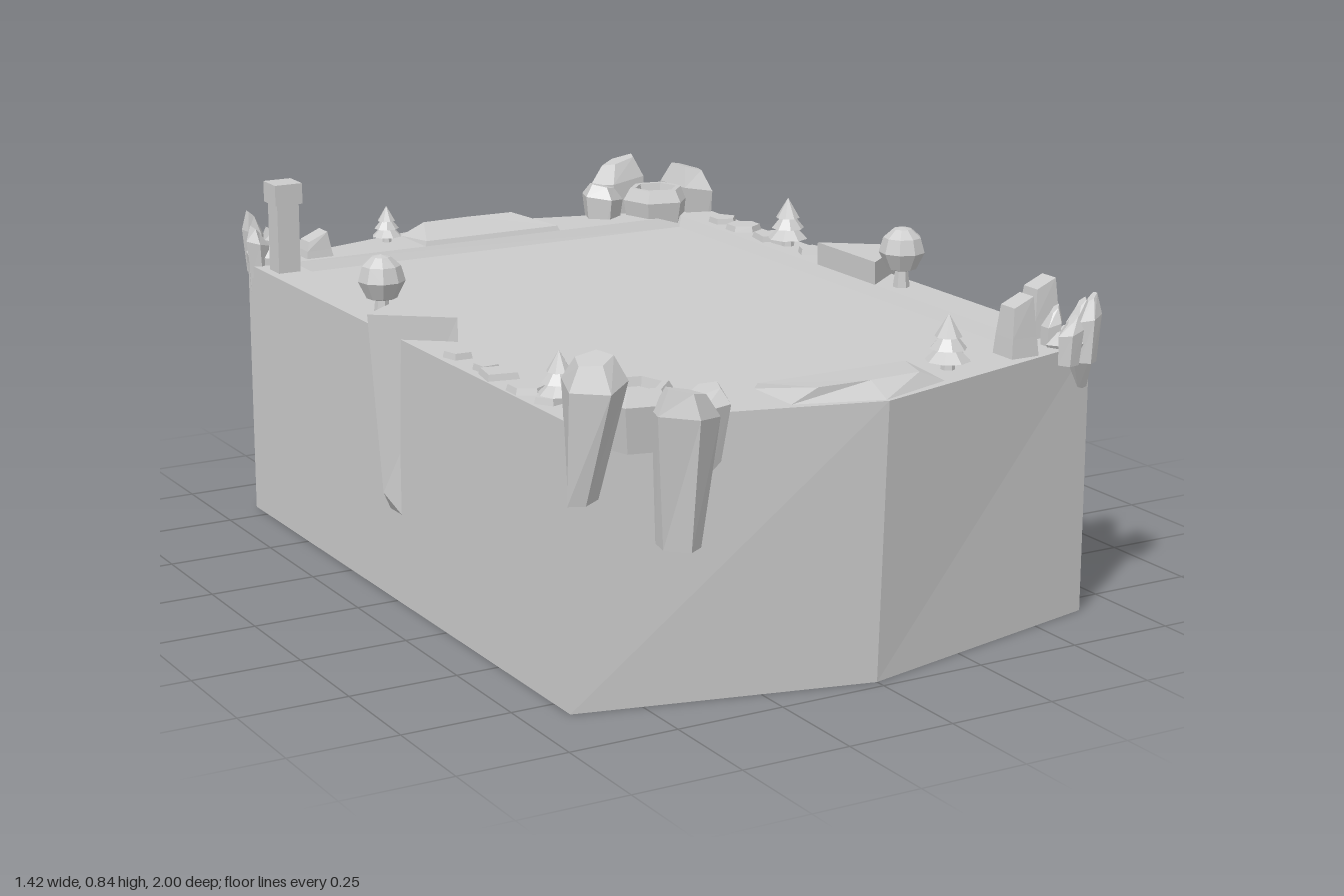
import * as THREE from 'three';

const mat = new THREE.MeshStandardMaterial({ color: 0xcccccc, flatShading: true, side: THREE.DoubleSide });
const TOP = 0.62, FLOOR = 0.595;

function add(parent, name, geo, x = 0, y = 0, z = 0, ry = 0) {
  const m = new THREE.Mesh(geo, mat);
  m.name = name;
  m.position.set(x, y, z);
  m.rotation.y = ry;
  parent.add(m);
  return m;
}

// Skin over loops of [x, y, z] corners with equal counts, listed bottom to top
function loft(loops, capBottom = true, capTop = true) {
  const pos = [], n = loops[0].length;
  const tri = (a, b, c) => pos.push(...a, ...b, ...c);
  for (let k = 0; k < loops.length - 1; k++) {
    for (let i = 0; i < n; i++) {
      const j = (i + 1) % n, lo = loops[k], hi = loops[k + 1];
      tri(lo[i], hi[j], lo[j]);
      tri(lo[i], hi[i], hi[j]);
    }
  }
  const last = loops[loops.length - 1];
  for (let i = 1; i < n - 1; i++) {
    if (capBottom) tri(loops[0][0], loops[0][i], loops[0][i + 1]);
    if (capTop) tri(last[0], last[i + 1], last[i]);
  }
  const g = new THREE.BufferGeometry();
  g.setAttribute('position', new THREE.Float32BufferAttribute(pos, 3));
  g.computeVertexNormals();
  return g;
}

// Polygonal ring around a centre, with tilt lowering one side of it
function ring(x, y, z, rx, rz, sides = 5, turn = 0.4, tilt = 0) {
  return Array.from({ length: sides }, (_, i) => {
    const a = turn - (i / sides) * Math.PI * 2;
    return [x + Math.cos(a) * rx, y + Math.cos(a) * tilt, z + Math.sin(a) * rz];
  });
}

const rect = (x, y, z) => [[-x, y, -z], [-x, y, z], [x, y, z], [x, y, -z]];
const outline = (y, tip) => [[0, y, tip], [0.65, y, 0.82], [0.65, y, -0.82], [0, y, -tip], [-0.65, y, -0.82], [-0.65, y, 0.82]];

function buildBase(g) {
  // Open-bottomed outer wall with pointed ends
  add(g, 'outerWall', loft([outline(0, 0.975), outline(TOP, 1)], false, false));
  // Rim with a rectangular opening
  const shape = new THREE.Shape(outline(0, 1).map(p => new THREE.Vector2(p[0], -p[2])));
  shape.holes.push(new THREE.Path(rect(0.55, 0, 0.78).map(p => new THREE.Vector2(p[0], -p[2]))));
  add(g, 'rim', new THREE.ShapeGeometry(shape).rotateX(-Math.PI / 2), 0, TOP, 0);
  // Sunken floor with a bevelled edge
  add(g, 'floor', loft([rect(0.535, FLOOR, 0.765), rect(0.55, TOP, 0.78)], true, false));
}

// Raised bevelled slab at the pointed end
function buildEndSlab(g) {
  const low = [[-0.19, TOP, 0.78], [-0.19, TOP, 0.925], [0, TOP, 0.99], [0.19, TOP, 0.925], [0.19, TOP, 0.78]];
  const high = [[-0.185, 0.632, 0.785], [-0.125, 0.648, 0.925], [0, 0.648, 0.93], [0.125, 0.648, 0.925], [0.185, 0.632, 0.785]];
  add(g, 'endSlab', loft([low, high]));
}

// Spike tapering down the long wall
function buildSideSpike(g) {
  add(g, 'sideSpike', loft([
    [[0.55, 0.05, 0.125], [0.68, 0.26, 0], [0.55, 0.05, -0.125]],
    [[0.55, 0.675, 0.125], [0.71, 0.675, 0], [0.55, 0.675, -0.125]],
  ]));
}

function roundTree(g, x, z) {
  add(g, 'roundTreeTrunk', new THREE.CylinderGeometry(0.014, 0.02, 0.05, 6), x, TOP + 0.025, z);
  const pts = [[0, 0.655], [0.035, 0.665], [0.055, 0.705], [0.045, 0.74], [0.022, 0.76], [0, 0.765]];
  add(g, 'roundTreeCrown', new THREE.LatheGeometry(pts.map(p => new THREE.Vector2(...p)), 9), x, 0, z);
}

function coneTree(g, x, z, s, y = TOP) {
  add(g, 'coneTreeTrunk', new THREE.CylinderGeometry(0.012 * s, 0.016 * s, 0.03 * s, 6), x, y + 0.015 * s, z);
  [[0.05, 0.02], [0.041, 0.046], [0.03, 0.072]].forEach(([r, h], i) =>
    add(g, 'coneTreeTier', new THREE.ConeGeometry(r * s, 0.05 * s, 8), x, y + (h + 0.025) * s, z, i * 0.4));
}

function brokenPillar(g, x, z, h) {
  const square = (y, r, tilt = 0) => ring(x, y, z, r, r, 4, Math.PI / 4, tilt);
  add(g, 'brokenPillar', loft([square(TOP, 0.05), square(TOP + h * 0.35, 0.045), square(TOP + h, 0.035, 0.015)]));
}

function cappedPillar(g, x, z) {
  add(g, 'pillarShaft', new THREE.BoxGeometry(0.056, 0.17, 0.056), x, TOP + 0.085, z);
  add(g, 'pillarCap', new THREE.BoxGeometry(0.07, 0.05, 0.07), x, 0.812, z);
}

// Long crystal-like rock hanging over the wall: foot, shoulder and crown
function shard(g, [fx, fy, fz, fr], [sx, sy, sz, rx, rz], h, turn, tilt) {
  add(g, 'hangingRock', loft([
    ring(fx, fy, fz, fr, fr * 0.9, 5, turn, tilt * 0.5),
    ring(sx, sy, sz, rx, rz, 5, turn, tilt),
    ring(sx, sy + h, sz, rx * 0.6, rz * 0.55, 5, turn, tilt),
  ]));
}

// Big rock cluster, with per-rock height offsets
function rockCluster(g, d) {
  shard(g, [-0.635, 0.46 + d[0] * 2, 0.845, 0.035], [-0.62, 0.71 + d[0], 0.87, 0.062, 0.095], 0.05, 0.5, 0.01);
  shard(g, [-0.46, 0.36, 0.93, 0.05], [-0.455, 0.64 + d[1], 0.945, 0.08, 0.05], 0.05, 0.2, -0.012);
  shard(g, [-0.36, 0.45, 0.87, 0.025], [-0.37, 0.64 + d[2], 0.885, 0.055, 0.06], 0.03, 1.0, 0.008);
  // Hexagonal stump with a recessed ring
  const pts = [[0.07, 0.56], [0.088, 0.66], [0.07, 0.69], [0.055, 0.69], [0.045, 0.655], [0.032, 0.675], [0, 0.675]];
  add(g, 'hexStump', new THREE.LatheGeometry(pts.map(p => new THREE.Vector2(...p)), 6), -0.51, 0, 0.845, 0.3);
}

// Small rocks on the opposite corner, wedged over the edge
function cornerRocks(g) {
  shard(g, [0.63, 0.52, 0.81, 0.02], [0.6, 0.635, 0.82, 0.06, 0.055], 0.025, 0.9, 0.01);
  const rocks = [[0.565, 0.79, 0.026, 0.08], [0.63, 0.8, 0.03, 0.09], [0.565, 0.855, 0.03, 0.07], [0.615, 0.855, 0.028, 0.115]];
  rocks.forEach(([x, z, r, h], i) => add(g, 'cornerRock', loft([
    ring(x, TOP - 0.03, z, r * 0.8, r * 0.8, 5, i),
    ring(x + 0.005, TOP + h * 0.6, z, r, r * 0.9, 5, i, 0.008),
    ring(x + 0.01, TOP + h, z, r * 0.4, r * 0.35, 5, i, 0.01),
  ])));
}

// Flat paving fragments along the rim: [z, radius, sides, turn]
function rubble(g) {
  const bits = [[-0.66, 0.038, 5, 0.3], [-0.56, 0.046, 6, 0], [-0.43, 0.05, 4, 0.6], [-0.37, 0.03, 4, 0.9], [-0.24, 0.035, 5, 1.2]];
  bits.forEach(([z, r, n, a]) => add(g, 'pavingFragment', new THREE.CylinderGeometry(r * 0.9, r, 0.014, n), 0.605, TOP + 0.007, z, a));
}

// Tiny pebbles in a group of three
function pebbles(g, x, z) {
  [[-0.016, -0.008], [0.016, -0.01], [0.004, 0.016]].forEach(([dx, dz]) =>
    add(g, 'pebble', new THREE.OctahedronGeometry(0.013), x + dx, TOP + 0.006, z + dz));
}

export function createModel() {
  const model = new THREE.Group();
  model.name = 'arenaPlatform';
  buildBase(model);

  // Parts repeated by a half turn
  for (let i = 0; i < 2; i++) {
    const half = new THREE.Group();
    half.name = i ? 'backHalf' : 'frontHalf';
    half.rotation.y = i * Math.PI;
    buildEndSlab(half);
    buildSideSpike(half);
    roundTree(half, 0.595, 0.17);
    rubble(half);
    rockCluster(half, i ? [-0.03, 0.06, 0.03] : [0, 0, 0]);
    cornerRocks(half);
    model.add(half);
  }

  // Single parts
  coneTree(model, 0.25, 0.85, 1);
  coneTree(model, -0.25, -0.88, 0.75);
  coneTree(model, 0.6, -0.34, 1);
  coneTree(model, -0.59, 0.67, 0.9);
  cappedPillar(model, -0.6, -0.71);
  brokenPillar(model, 0.6, 0.7, 0.12);
  brokenPillar(model, 0.45, 0.82, 0.12);
  brokenPillar(model, -0.47, -0.83, 0.05);
  pebbles(model, 0.6, -0.15);
  pebbles(model, 0.6, 0.62);
  return model;
}
